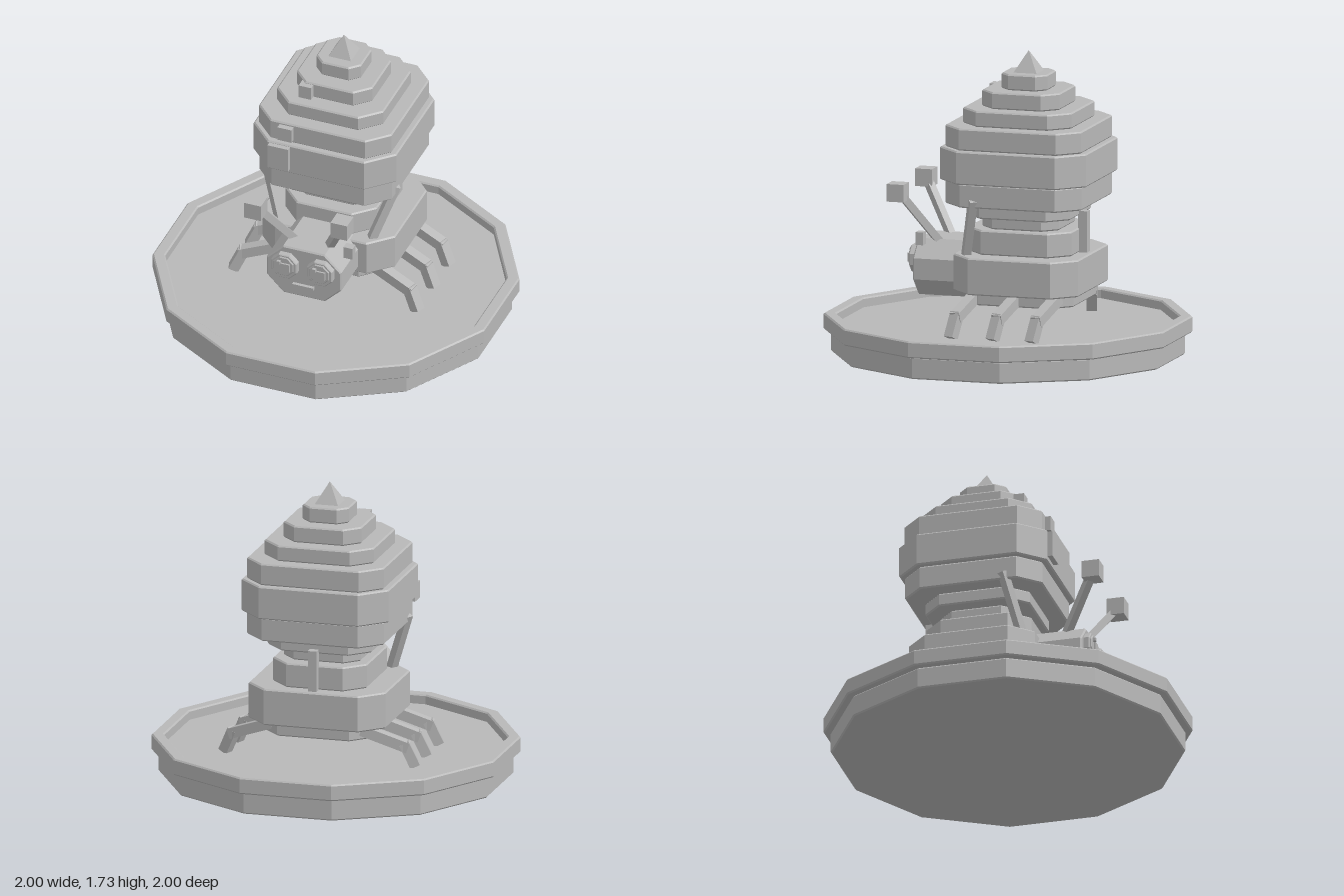
import * as THREE from 'three';

const grey = new THREE.MeshStandardMaterial({ color: 0xb8b8b8 });
grey.name = 'plainGrey';

export function createModel() {
  const model = new THREE.Group();
  model.name = 'insectOnPlatform';

  const add = (name, geometry, x = 0, y = 0, z = 0) => {
    const mesh = new THREE.Mesh(geometry, grey);
    mesh.name = name;
    mesh.position.set(x, y, z);
    model.add(mesh);
    return mesh;
  };
  const box = (name, x0, x1, y0, y1, z0, z1) =>
    add(name, new THREE.BoxGeometry(x1 - x0, y1 - y0, z1 - z0), (x0 + x1) / 2, (y0 + y1) / 2, (z0 + z1) / 2);

  // Rectangle with cut corners
  const cutRect = (hx, hy, c) => new THREE.Shape([
    [hx, -hy + c], [hx, hy - c], [hx - c, hy], [-hx + c, hy],
    [-hx, hy - c], [-hx, -hy + c], [-hx + c, -hy], [hx - c, -hy],
  ].map(([x, y]) => new THREE.Vector2(x, y)));
  // Twelve-sided outline with flat sides on the axes
  const dodecagon = (apothem) => Array.from({ length: 12 }, (_, i) => {
    const a = (i + 0.5) * Math.PI / 6, r = apothem / Math.cos(Math.PI / 12);
    return new THREE.Vector2(r * Math.cos(a), r * Math.sin(a));
  });
  // Extrusion from 0 to depth with a thin bevel kept inside the outline
  const prism = (shape, depth, b = 0.008) => new THREE.ExtrudeGeometry(shape, {
    depth: depth - 2 * b, bevelEnabled: true, bevelThickness: b, bevelSize: b, bevelOffset: -b, bevelSegments: 1,
  }).translate(0, 0, b);
  const slab = (shape, height) => prism(shape, height).rotateX(-Math.PI / 2);

  // Square bar between two points
  const bar = (name, a, b, w) => {
    const from = new THREE.Vector3(...a), to = new THREE.Vector3(...b);
    const dir = to.clone().sub(from);
    const mesh = add(name, new THREE.BoxGeometry(w, w, dir.length()));
    mesh.position.copy(from).addScaledVector(dir, 0.5);
    mesh.lookAt(to);
    return mesh;
  };

  // Platform: foot, recessed floor and raised rim
  add('platformFoot', slab(new THREE.Shape(dodecagon(0.96)), 0.125));
  add('platformFloor', slab(new THREE.Shape(dodecagon(0.95)), 0.045), 0, 0.12, 0);
  const rim = new THREE.Shape(dodecagon(1));
  rim.holes.push(new THREE.Path(dodecagon(0.93).reverse()));
  add('platformRim', slab(rim, 0.095), 0, 0.125, 0);

  // Body tiers: name, bottom, top, half width, half depth, corner cut
  const tiers = [
    ['belly', 0.32, 0.40, 0.32, 0.32, 0.11],
    ['thorax', 0.39, 0.60, 0.40, 0.367, 0.125],
    ['shoulders', 0.60, 0.74, 0.275, 0.305, 0.11],
    ['waist', 0.74, 0.81, 0.225, 0.225, 0.08],
    ['abdomenBase', 0.81, 0.885, 0.305, 0.305, 0.11],
    ['abdomenTier', 0.885, 1.02, 0.40, 0.40, 0.12],
    ['abdomenTier', 1.02, 1.21, 0.43, 0.43, 0.14],
    ['abdomenTier', 1.21, 1.335, 0.40, 0.40, 0.115],
    ['abdomenTier', 1.335, 1.425, 0.32, 0.32, 0.11],
    ['abdomenTier', 1.425, 1.52, 0.228, 0.228, 0.085],
    ['abdomenTop', 1.52, 1.61, 0.135, 0.135, 0.055],
  ];
  for (const [name, y0, y1, hx, hz, cut] of tiers)
    add(name, slab(cutRect(hx, hz, cut), y1 - y0), 0, y0, name === 'thorax' || name === 'belly' ? -0.133 : -0.122);

  // Pointed tip
  add('tip', new THREE.ConeGeometry(0.068 * Math.SQRT2, 0.12, 4).toNonIndexed().rotateY(Math.PI / 4), 0, 1.67, -0.122)
    .geometry.computeVertexNormals();

  // Head, mouth and cheek block
  add('head', prism(cutRect(0.225, 0.16, 0.1), 0.32), 0, 0.49, 0.17);
  box('mouth', -0.063, 0.063, 0.40, 0.418, 0.48, 0.51);
  box('cheekBlock', 0.225, 0.28, 0.637, 0.71, 0.41, 0.455);

  // Raised blocks on the abdomen and post on the back
  box('block', -0.28, -0.155, 1.05, 1.20, 0.28, 0.337);
  box('block', -0.23, -0.145, 1.235, 1.32, 0.25, 0.312);
  box('block', -0.17, -0.095, 1.43, 1.51, 0.08, 0.14);
  box('backPost', -0.025, 0.025, 0.60, 0.835, -0.473, -0.42);

  for (const s of [1, -1]) {
    // Eye: eight-sided socket, inner disc, pupil and highlight
    const ex = 0.107 * s;
    add('eyeSocket', prism(cutRect(0.077, 0.077, 0.045), 0.05, 0.005), ex, 0.535, 0.475);
    add('eyeDisc', prism(cutRect(0.06, 0.06, 0.035), 0.05, 0.004), ex, 0.54, 0.483);
    box('pupil', ex - 0.012, ex + 0.04, 0.515, 0.565, 0.52, 0.543);
    box('highlight', ex - 0.035, ex - 0.015, 0.56, 0.58, 0.52, 0.55);

    // Antenna with cube end
    bar('antennaStalk', [0.1 * s, 0.62, 0.36], [0.25 * s, 0.92, 0.555], 0.042);
    box('antennaCube', 0.26 * s - 0.05, 0.26 * s + 0.05, 0.88, 0.98, 0.515, 0.615);

    // Raised arm
    bar('arm', [0.275 * s, 0.58, 0.16], [0.395 * s, 0.93, 0.08], 0.045);

    // Three jointed legs
    for (const z of [0.13, -0.115, -0.345]) {
      bar('upperLeg', [0.26 * s, 0.375, z - 0.03], [0.52 * s, 0.28, z + 0.015], 0.06);
      bar('lowerLeg', [0.495 * s, 0.305, z + 0.01], [0.555 * s, 0.17, z + 0.03], 0.058);
    }
  }
  return model;
}
